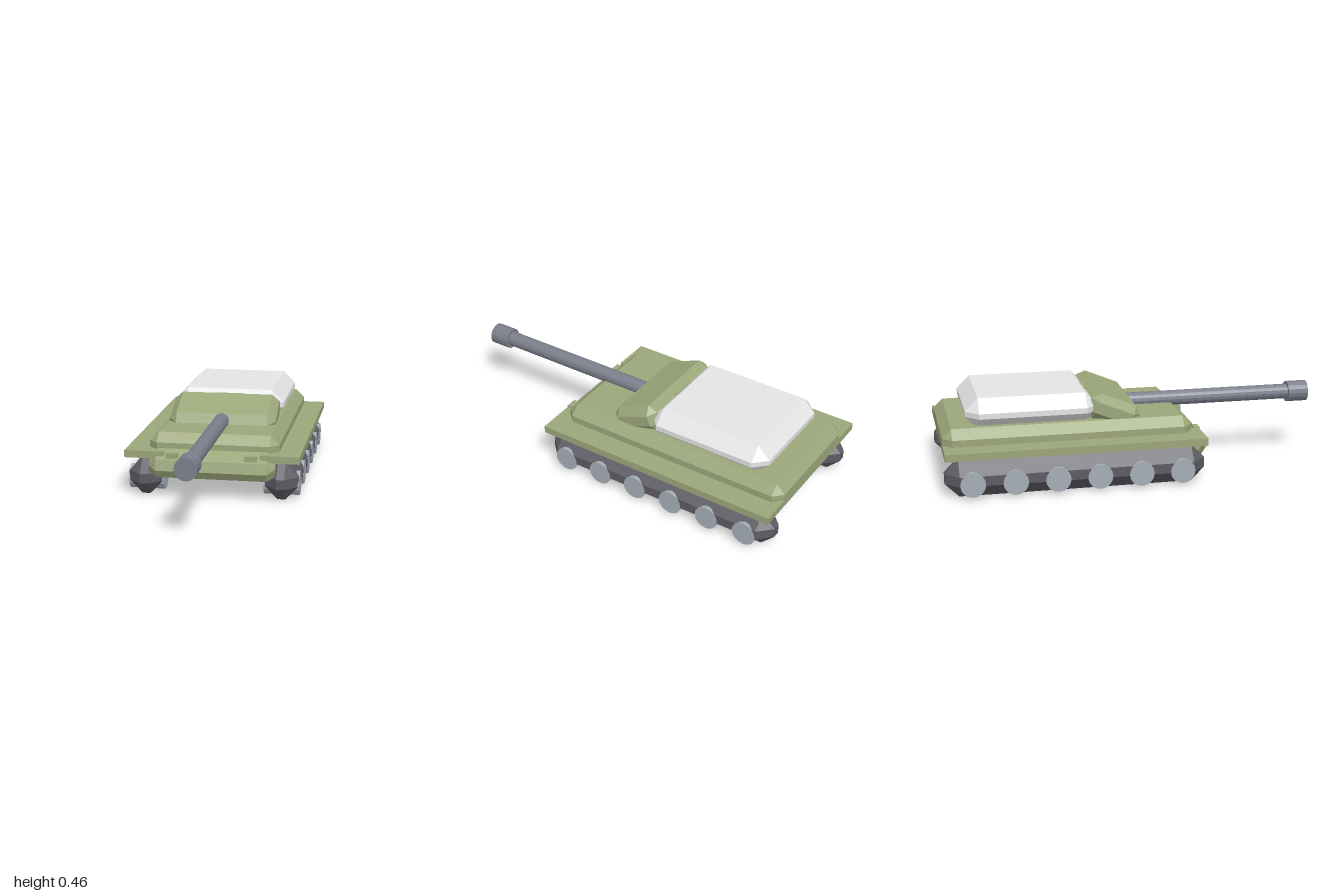
import * as THREE from 'three';
import { ConvexGeometry } from 'three/addons/geometries/ConvexGeometry.js';

const paint = (name, color) => {
  const m = new THREE.MeshStandardMaterial({ color });
  m.name = name;
  return m;
};

// Box with every edge and corner cut off by b
function chamferBox(w, h, d, b) {
  const points = [];
  const x = w / 2, y = h / 2, z = d / 2;
  for (const sx of [-1, 1]) for (const sy of [-1, 1]) for (const sz of [-1, 1]) {
    points.push(
      new THREE.Vector3(sx * x, sy * (y - b), sz * (z - b)),
      new THREE.Vector3(sx * (x - b), sy * y, sz * (z - b)),
      new THREE.Vector3(sx * (x - b), sy * (y - b), sz * z));
  }
  return new ConvexGeometry(points);
}

// Flat-sided cylinder
function facetedCylinder(r, length) {
  const g = new THREE.CylinderGeometry(r, r, length, 16).toNonIndexed();
  g.computeVertexNormals();
  return g;
}

export function createModel() {
  const olive = paint('olive armour', 0x9ba67a);
  const steel = paint('gun steel', 0x7a7e8a);
  const rubber = paint('dark track', 0x5c5b63);
  const wheelGrey = paint('wheel grey', 0xa4adb6);
  const pale = paint('pale deck', 0xe4e4e4);

  const model = new THREE.Group();
  model.name = 'tank';

  const add = (name, geometry, material, x, y, z) => {
    const mesh = new THREE.Mesh(geometry, material);
    mesh.name = name;
    mesh.position.set(x, y, z);
    model.add(mesh);
    return mesh;
  };

  // Hull with a tilted nose block hanging below it
  add('hull', chamferBox(0.68, 0.167, 1.28, 0.047), olive, 0, 0.2435, -0.36);
  add('nose', chamferBox(0.654, 0.127, 0.25, 0.04), olive, 0, 0.197, 0.246).rotation.x = 0.55;

  // Tilted turret front, sight and rear deck
  add('turretFront', chamferBox(0.572, 0.14, 0.275, 0.041), olive, 0, 0.353, -0.117).rotation.x = 0.393;
  add('sight', new THREE.BoxGeometry(0.14, 0.02, 0.02), olive, 0, 0.433, -0.235);
  add('rearDeck', chamferBox(0.6, 0.16, 0.68, 0.066), pale, 0, 0.383, -0.537);

  // Gun
  add('barrel', facetedCylinder(0.04, 0.98), steel, 0, 0.343, 0.43).rotation.x = Math.PI / 2;
  add('muzzle', facetedCylinder(0.056, 0.11), steel, 0, 0.342, 0.945).rotation.x = Math.PI / 2;

  // Guard, track, wheels and lamp on each side
  const guard = new THREE.BoxGeometry(0.205, 0.038, 1.33);
  const track = chamferBox(0.18, 0.191, 1.33, 0.07);
  const wheel = facetedCylinder(0.064, 0.184);
  const lamp = new THREE.BoxGeometry(0.062, 0.028, 0.03);
  for (const s of [-1, 1]) {
    const side = s > 0 ? 'left' : 'right';
    add(side + 'TrackGuard', guard, olive, s * 0.3525, 0.226, -0.335);
    add(side + 'Track', track, rubber, s * 0.355, 0.0955, -0.335);
    for (let i = 0; i < 6; i++) {
      add(side + 'Wheel' + (i + 1), wheel, wheelGrey, s * 0.354, 0.077, 0.202 - i * 0.2135).rotation.z = Math.PI / 2;
    }
    add(side + 'Lamp', lamp, olive, s * 0.204, 0.226, 0.328);
  }
  return model;
}
